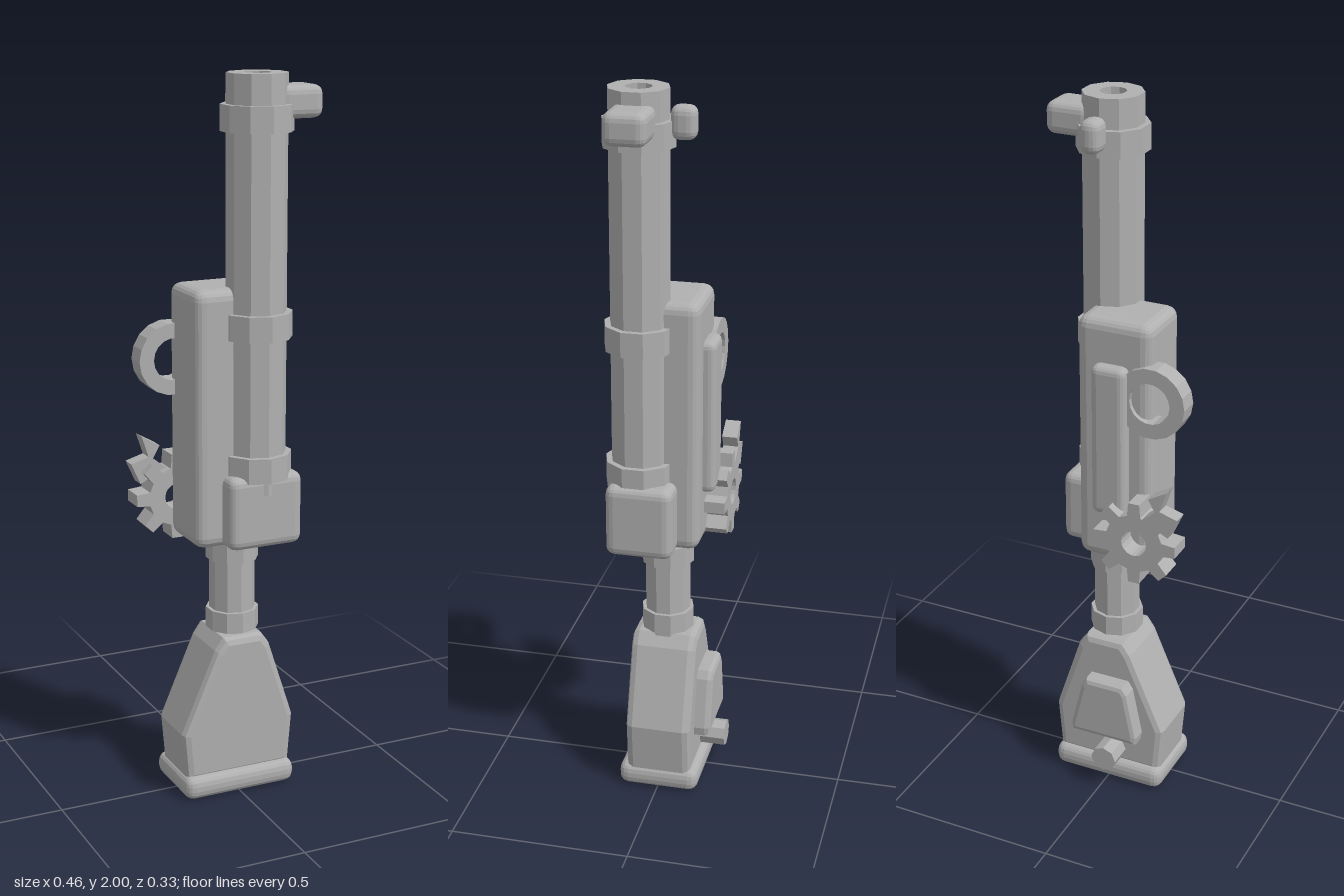
import * as THREE from 'three';
import { RoundedBoxGeometry } from 'three/addons/geometries/RoundedBoxGeometry.js';

const grey = new THREE.MeshStandardMaterial({ color: 0xb0b0b0 });

export function createModel() {
  const model = new THREE.Group();

  // faceted mesh with one normal per face
  function add(name, geometry, x = 0, y = 0, z = 0) {
    const g = geometry.index ? geometry.toNonIndexed() : geometry;
    g.computeVertexNormals();
    const mesh = new THREE.Mesh(g, grey);
    mesh.name = name;
    mesh.position.set(x, y, z);
    model.add(mesh);
    return mesh;
  }

  // bevelled box given by its extents
  function block(name, [x0, x1], [y0, y1], [z0, z1], r) {
    add(name, new RoundedBoxGeometry(x1 - x0, y1 - y0, z1 - z0, 2, r),
      (x0 + x1) / 2, (y0 + y1) / 2, (z0 + z1) / 2);
  }

  // upright ten-sided cylinder between two heights
  function tube(name, r, y0, y1, x, z) {
    add(name, new THREE.CylinderGeometry(r, r, y1 - y0, 10), x, (y0 + y1) / 2, z);
  }

  // flat outline extruded from z0 to z1, bevel kept inside the given depth
  function slab(name, shape, z0, z1, bevel = 0) {
    add(name, new THREE.ExtrudeGeometry(shape, {
      depth: z1 - z0 - 2 * bevel, bevelEnabled: bevel > 0, bevelSize: bevel,
      bevelOffset: -bevel, bevelThickness: bevel, bevelSegments: 2, curveSegments: 9,
    }), 0, 0, z0 + bevel);
  }
  const outline = (pts) => new THREE.Shape(pts.map(([x, y]) => new THREE.Vector2(x, y)));
  function circleHole(shape, x, y, r) {
    shape.holes.push(new THREE.Path().absarc(x, y, r, 0, Math.PI * 2, true));
    return shape;
  }

  // stock
  slab('stock', outline([
    [-0.155, 0.05], [0.16, 0.05], [0.173, 0.2], [0.1, 0.425], [0.075, 0.46],
    [-0.04, 0.46], [-0.065, 0.425], [-0.167, 0.19],
  ]), -0.095, 0.09, 0.02);
  block('buttPad', [-0.167, 0.168], [0, 0.068], [-0.116, 0.112], 0.027);
  slab('stockPanel', outline([
    [-0.1, 0.155], [0.1, 0.155], [0.104, 0.18], [0.07, 0.32], [0.055, 0.342],
    [-0.06, 0.342], [-0.075, 0.32], [-0.104, 0.18],
  ]), -0.14, -0.08, 0.015);
  add('stockKnob', new THREE.CylinderGeometry(0.038, 0.038, 0.08, 8).rotateX(Math.PI / 2),
    -0.014, 0.103, -0.126);

  // neck between stock and body
  tube('neck', 0.064, 0.43, 0.76, 0.02, 0);
  for (const y of [0.465, 0.67]) tube('neckCollar', 0.074, y, y + 0.058, 0.02, 0);

  // body
  block('body', [-0.125, 0.092], [0.73, 1.442], [-0.1, 0.09], 0.03);
  block('backPlate', [-0.064, 0.037], [0.885, 1.322], [-0.133, -0.07], 0.02);
  block('frontBlock', [-0.05, 0.168], [0.73, 0.935], [-0.042, 0.144], 0.025);

  // hollow-ended barrel and its bands
  const bx = 0.06, bz = 0.066;
  const profile = [[0, 0.88], [0.082, 0.88], [0.082, 2], [0.036, 2], [0.036, 1.9], [0, 1.9]];
  add('barrel', new THREE.LatheGeometry(
    profile.map(([r, y]) => new THREE.Vector2(r, y)), 10), bx, 0, bz);
  for (const y of [0.918, 1.305, 1.85]) tube('barrelBand', 0.098, y, y + 0.07, bx, bz);

  // lugs at the muzzle
  block('sideLug', [0.1, 0.23], [1.88, 1.967], [0.007, 0.122], 0.024);
  block('rearLug', [0.031, 0.088], [1.87, 1.96], [-0.087, -0.018], 0.024);

  // ring on the side of the body
  const ring = new THREE.Shape().absarc(-0.128, 1.235, 0.1, 0, Math.PI * 2);
  slab('ring', circleHole(ring, -0.128, 1.235, 0.058), -0.113, -0.055);

  // toothed wheel
  const cx = -0.105, cy = 0.835, teeth = 8, wheel = [];
  for (let i = 0; i < teeth; i++) {
    for (const [step, r] of [[-0.3, 0.084], [-0.17, 0.122], [0.17, 0.122], [0.3, 0.084]]) {
      const a = ((i + step) / teeth) * Math.PI * 2;
      wheel.push([cx + r * Math.cos(a), cy + r * Math.sin(a)]);
    }
  }
  slab('gear', circleHole(outline(wheel), cx, cy, 0.037), -0.158, -0.09);

  // catch beside the wheel
  slab('catch', outline([
    [-0.2, 1.01], [-0.232, 0.94], [-0.205, 0.875], [-0.13, 0.915],
    [-0.167, 0.945], [-0.147, 0.98],
  ].filter((p) => p[0] !== -0.232).toSpliced(1, 0, [-0.18, 0.95], [-0.232, 0.935])),
  -0.158, -0.115);

  return model;
}
